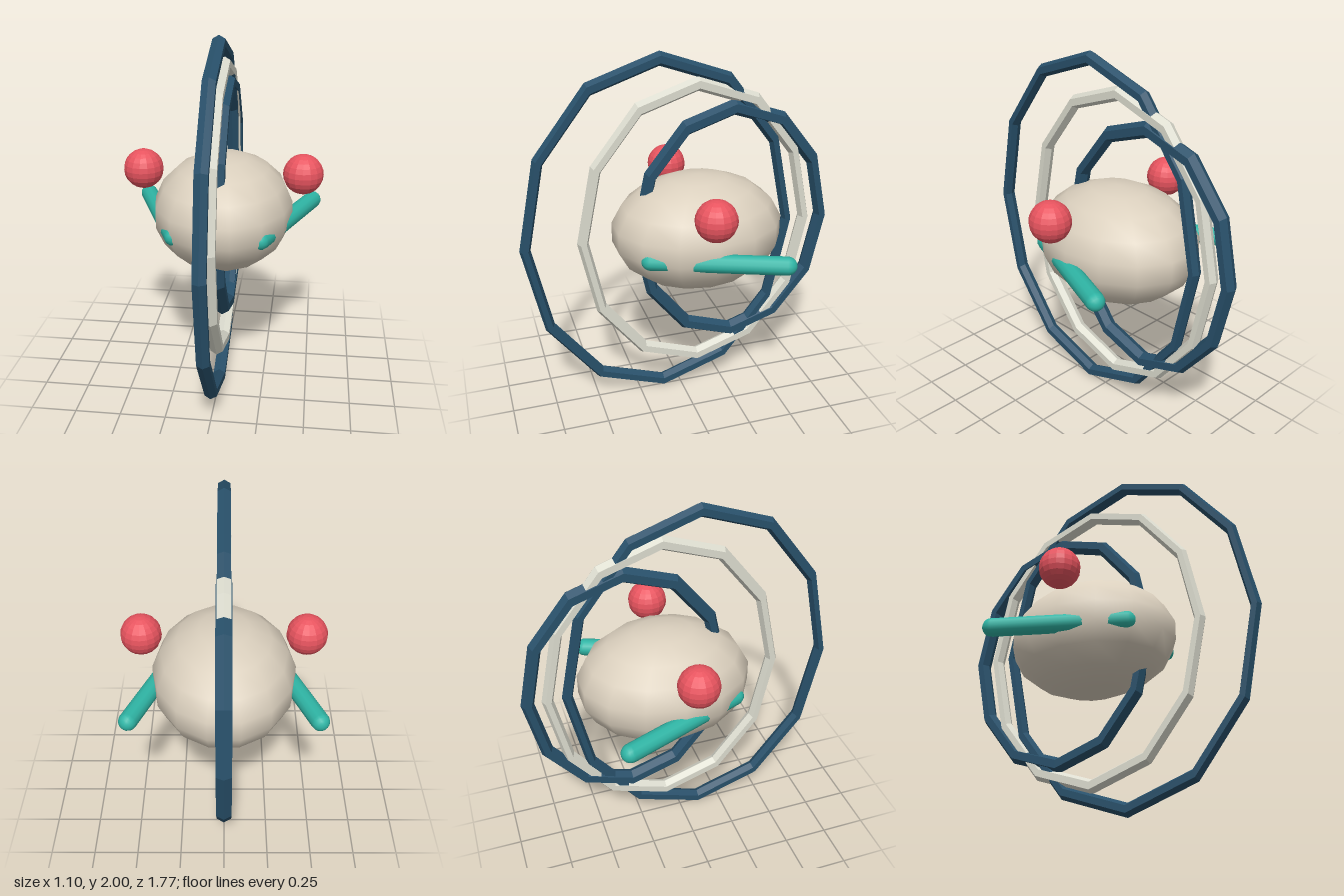
import * as THREE from 'three';

const paint = (color, flatShading = false) =>
  new THREE.MeshStandardMaterial({ color, flatShading });

export function createModel() {
  const model = new THREE.Group();
  const add = (name, geometry, material, x, y, z) => {
    const mesh = new THREE.Mesh(geometry, material);
    mesh.name = name;
    mesh.position.set(x, y, z);
    model.add(mesh);
    return mesh;
  };

  const navy = paint(0x28506a, true);
  const ivory = paint(0xdcdccf, true);
  const red = paint(0xe8545f, true);
  const teal = paint(0x2fb5a5);

  // Egg-shaped body
  const body = new THREE.SphereGeometry(1, 14, 9);
  body.scale(0.393, 0.32, 0.483);
  add('body', body, paint(0xdbd0be), 0, 1.005, -0.095);

  // Three upright oval hoops: [name, material, outer half height, half depth, tube, z]
  const hoops = [
    ['outerHoop', navy, 1.0, 0.773, 0.038, 0.11],
    ['middleHoop', ivory, 0.86, 0.675, 0.04, -0.097],
    ['innerHoop', navy, 0.725, 0.58, 0.045, -0.303],
  ];
  for (const [name, material, height, depth, tube, z] of hoops) {
    const hoop = new THREE.TorusGeometry(height - tube, tube, 6, 12);
    hoop.rotateY(Math.PI / 2);
    hoop.scale(1, 1, depth / height);
    add(name, hoop, material, 0, 1, z);
  }

  // Side balls and the rods that run through the body, mirrored
  for (const [side, s] of [['left', 1], ['right', -1]]) {
    add(side + 'Ball', new THREE.SphereGeometry(0.11, 16, 12), red, s * 0.44, 1.24, -0.05);

    const back = new THREE.Vector3(s * 0.495, 0.958, -0.426);
    const front = new THREE.Vector3(s * 0.232, 0.958, 0.235);
    const along = front.clone().sub(back);
    const rod = add(side + 'Rod', new THREE.CapsuleGeometry(0.05, along.length(), 6, 12), teal, 0, 0, 0);
    rod.position.copy(back).add(front).multiplyScalar(0.5);
    rod.quaternion.setFromUnitVectors(new THREE.Vector3(0, 1, 0), along.normalize());
  }

  return model;
}
